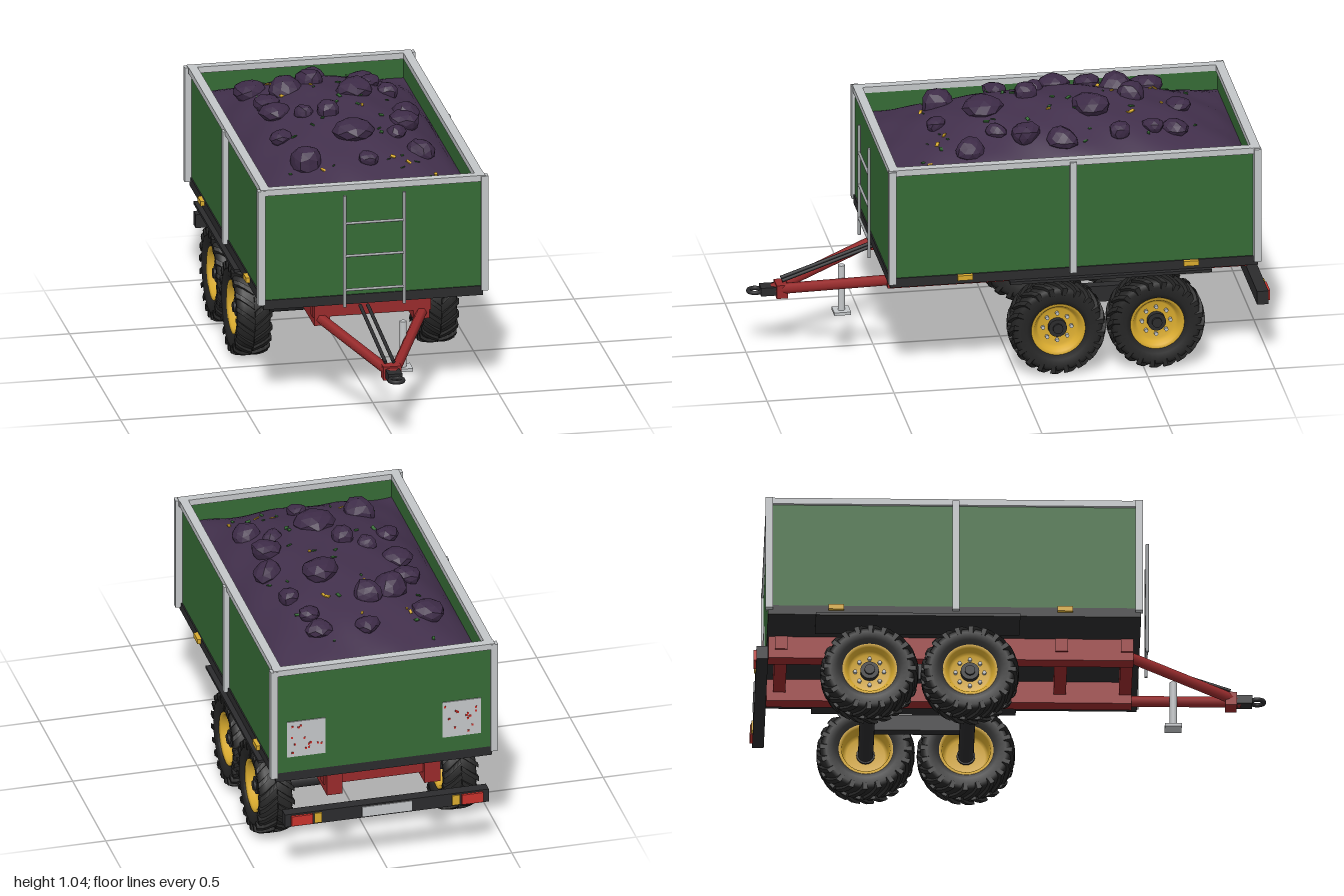
import * as THREE from 'three';
import { mergeGeometries } from 'three/addons/utils/BufferGeometryUtils.js';

const mat = (name, color, extra = {}) => Object.assign(new THREE.MeshStandardMaterial({ color, ...extra }), { name });

export function createModel() {
  const M = {
    green: mat('panelGreen', 0x356a35),
    grey: mat('frameGrey', 0xc3c6c8),
    steel: mat('steel', 0x9b9ea0),
    red: mat('chassisRed', 0x982a2b),
    black: mat('darkMetal', 0x2b2b2d),
    tyre: mat('rubber', 0x262626),
    yellow: mat('rimYellow', 0xd8aa2e),
    load: mat('loadPurple', 0x42304c),
    rock: mat('lumpPurple', 0x3d2b47, { flatShading: true }),
    lamp: mat('lampRed', 0xc8322c),
  };
  const model = new THREE.Group();
  model.name = 'trailer';

  let seed = 7;
  const rnd = () => (seed = (seed * 16807) % 2147483647) / 2147483647;

  const add = (name, geo, material, parent = model) => {
    const mesh = new THREE.Mesh(geo, material);
    mesh.name = name;
    parent.add(mesh);
    return mesh;
  };
  // box given by its extents
  const box = (name, m, x0, x1, y0, y1, z0, z1, parent) => {
    const b = add(name, new THREE.BoxGeometry(x1 - x0, y1 - y0, z1 - z0), m, parent);
    b.position.set((x0 + x1) / 2, (y0 + y1) / 2, (z0 + z1) / 2);
    return b;
  };
  // round bar between two points
  const rod = (name, m, a, b, r, sides = 12, parent = model) => {
    const p = new THREE.Vector3(...a), q = new THREE.Vector3(...b), d = q.clone().sub(p);
    const c = add(name, new THREE.CylinderGeometry(r, r, d.length(), sides), m, parent);
    c.position.copy(p).add(q).multiplyScalar(0.5);
    c.quaternion.setFromUnitVectors(new THREE.Vector3(0, 1, 0), d.normalize());
    return c;
  };

  // --- body: floor, walls and grey frame
  box('floor', M.black, -0.435, 0.435, 0.42, 0.458, -0.945, 0.505);
  box('frontWall', M.green, -0.43, 0.43, 0.458, 0.9, 0.48, 0.5);
  box('rearWall', M.green, -0.43, 0.43, 0.458, 0.9, -0.945, -0.925);
  box('frontRail', M.grey, -0.445, 0.445, 0.89, 0.915, 0.473, 0.508);
  box('rearRail', M.grey, -0.445, 0.445, 0.89, 0.915, -0.953, -0.918);
  for (const s of [-1, 1]) {
    const sideBox = (name, m, x0, x1, ...r) => box(name, m, Math.min(s * x0, s * x1), Math.max(s * x0, s * x1), ...r);
    sideBox('sideWall', M.green, 0.41, 0.43, 0.458, 0.9, -0.93, 0.485);
    sideBox('sideRail', M.grey, 0.408, 0.443, 0.89, 0.915, -0.918, 0.473);
    sideBox('middlePost', M.grey, 0.428, 0.452, 0.44, 0.905, -0.228, -0.202);
    sideBox('frontPost', M.grey, 0.428, 0.457, 0.44, 0.912, 0.483, 0.512);
    sideBox('rearPost', M.grey, 0.428, 0.457, 0.44, 0.912, -0.955, -0.926);
    sideBox('mudguard', M.black, 0.28, 0.456, 0.409, 0.421, -0.76, 0.035);
    for (const z of [0.21, -0.68]) sideBox('sideMarker', M.yellow, 0.434, 0.45, 0.438, 0.458, z - 0.03, z + 0.03);
    // rear warning plate with small red spots
    sideBox('warningPlate', M.grey, 0.235, 0.39, 0.525, 0.68, -0.949, -0.944);
    for (let i = 0; i < 14; i++) {
      const x = s * (0.245 + rnd() * 0.135), y = 0.535 + rnd() * 0.135;
      box('warningSpot', M.lamp, x - 0.004, x + 0.004, y - 0.004, y + 0.004, -0.951, -0.948);
    }
    // chassis and bogie
    sideBox('chassisRail', M.red, 0.165, 0.228, 0.33, 0.421, -0.94, 0.48);
    sideBox('bogieBeam', M.black, 0.214, 0.256, 0.23, 0.295, -0.56, -0.15);
    // drawbar arm
    rod('drawbarArm', M.red, [s * 0.2, 0.355, 0.47], [0, 0.262, 0.9], 0.021, 6);
    // rear lamps
    sideBox('rearLamp', M.lamp, 0.3, 0.385, 0.246, 0.288, -1, -0.988);
    sideBox('indicator', M.yellow, 0.262, 0.292, 0.246, 0.288, -0.996, -0.988);
  }
  for (const z of [0.455, 0.2, -0.16, -0.52, -0.89])
    box('crossMember', M.red, -0.235, 0.235, 0.365, 0.42, z - 0.024, z + 0.024);
  box('bumper', M.black, -0.41, 0.41, 0.24, 0.295, -0.99, -0.945);
  box('numberPlate', M.grey, -0.1, 0.1, 0.246, 0.288, -0.994, -0.989);

  // --- hitch
  box('drawbarTip', M.red, -0.036, 0.036, 0.235, 0.29, 0.84, 0.885);
  box('coupling', M.black, -0.028, 0.028, 0.246, 0.28, 0.87, 0.945);
  const eye = add('towingEye', new THREE.TorusGeometry(0.026, 0.009, 8, 24), M.black);
  eye.rotation.x = Math.PI / 2;
  eye.position.set(0, 0.262, 0.965);
  rod('hose', M.black, [-0.05, 0.41, 0.5], [-0.022, 0.3, 0.86], 0.007);
  rod('hose', M.black, [-0.02, 0.41, 0.5], [0.01, 0.3, 0.86], 0.007);

  // --- support leg
  rod('supportLeg', M.grey, [0.092, 0.19, 0.64], [0.092, 0.385, 0.64], 0.014, 20);
  box('supportFoot', M.grey, 0.059, 0.125, 0.186, 0.198, 0.607, 0.673);

  // --- ladder
  for (const x of [-0.118, 0.118]) rod('ladderRail', M.steel, [x, 0.42, 0.535], [x, 0.88, 0.535], 0.0065);
  for (const y of [0.49, 0.63, 0.765]) rod('ladderRung', M.steel, [-0.118, y, 0.535], [0.118, y, 0.535], 0.0055);

  // --- wheels
  const lathe = (pts, seg = 40) => new THREE.LatheGeometry(pts.map(p => new THREE.Vector2(...p)), seg).rotateZ(-Math.PI / 2);
  const tyreGeo = lathe([[0.102, -0.05], [0.125, -0.062], [0.155, -0.066], [0.17, -0.06], [0.177, -0.04], [0.179, 0],
    [0.177, 0.04], [0.17, 0.06], [0.155, 0.066], [0.125, 0.062], [0.102, 0.05], [0.102, -0.05]]);
  // slanting tread bars wrapped round the tyre
  const lugs = [];
  const N = 20;
  for (const side of [-1, 1]) for (let i = 0; i < N; i++) {
    const g = new THREE.BoxGeometry(0.07, 0.02, 0.03, 4, 1, 1);
    const p = g.attributes.position;
    const base = ((i + (side > 0 ? 0.5 : 0)) / N) * Math.PI * 2;
    for (let k = 0; k < p.count; k++) {
      const x = p.getX(k) + side * 0.035, u = Math.abs(x) / 0.07;
      const r = 0.176 + p.getZ(k) - 0.012 * u ** 4;
      const a = base + p.getY(k) / 0.18 + 0.3 * u;
      p.setXYZ(k, x, Math.sin(a) * r, Math.cos(a) * r);
    }
    const flat = g.toNonIndexed();
    flat.computeVertexNormals();
    lugs.push(flat);
  }
  const lugGeo = mergeGeometries(lugs);
  const rimMat = M.yellow;
  rimMat.side = THREE.DoubleSide;
  const rimGeo = lathe([[0.03, 0.018], [0.075, 0.018], [0.084, 0.03], [0.094, 0.05], [0.106, 0.056], [0.107, 0.05],
    [0.1, 0.04], [0.1, -0.04], [0.107, -0.05], [0.106, -0.056], [0.094, -0.05], [0.088, 0.0], [0.075, 0.01], [0.03, 0.01]]);

  for (const s of [-1, 1]) for (const z of [-0.16, -0.55]) {
    const w = new THREE.Group();
    w.name = 'wheel';
    w.position.set(s * 0.37, 0.195, z);
    model.add(w);
    add('tyre', tyreGeo, M.tyre, w);
    add('tread', lugGeo, M.tyre, w);
    add('rim', rimGeo, rimMat, w).rotation.y = s > 0 ? 0 : Math.PI;
    rod('hub', M.black, [0, 0, 0], [s * 0.042, 0, 0], 0.036, 20, w);
    rod('hubCap', M.black, [s * 0.04, 0, 0], [s * 0.052, 0, 0], 0.02, 16, w);
    for (let i = 0; i < 8; i++) {
      const a = (i / 8) * Math.PI * 2, y = Math.sin(a) * 0.056, q = Math.cos(a) * 0.056;
      rod('wheelNut', M.grey, [s * 0.015, y, q], [s * 0.03, y, q], 0.008, 6, w);
    }
  }
  for (const z of [-0.16, -0.55]) rod('axle', M.black, [-0.375, 0.195, z], [0.375, 0.195, z], 0.03, 20);

  // --- heaped load
  const heapY = (x, z) => {
    const u = Math.min(1, Math.abs(x) / 0.412), v = Math.min(1, Math.abs(z + 0.222) / 0.705);
    return 0.81 + 0.185 * ((1 - u * u) * (1 - v * v)) ** 0.8 + 0.006 * Math.sin(x * 23) * Math.sin(z * 17);
  };
  const heap = new THREE.PlaneGeometry(0.824, 1.41, 28, 44).rotateX(-Math.PI / 2).translate(0, 0, -0.222);
  const hp = heap.attributes.position;
  for (let i = 0; i < hp.count; i++) hp.setY(i, heapY(hp.getX(i), hp.getZ(i)));
  heap.computeVertexNormals();
  add('heap', heap, M.load);

  // lumps: x, z, radius
  const lumps = [[-0.265, -0.62, 0.065], [0, -0.7, 0.046], [0.185, -0.66, 0.05], [-0.145, -0.48, 0.07], [-0.045, -0.525, 0.058],
    [0.245, -0.43, 0.045], [-0.245, -0.38, 0.052], [0.095, -0.34, 0.07], [-0.235, -0.25, 0.057], [0.27, -0.2, 0.06],
    [-0.14, -0.155, 0.038], [-0.055, -0.11, 0.05], [0.235, -0.06, 0.058], [-0.26, -0.02, 0.046], [0.01, 0.07, 0.072],
    [0.185, 0.045, 0.04], [0.26, 0.16, 0.057], [-0.205, 0.21, 0.07], [0.03, 0.26, 0.04], [0.2, -0.57, 0.042]];
  lumps.forEach(([x, z, r], n) => {
    const g = new THREE.IcosahedronGeometry(r, 1), p = g.attributes.position;
    for (let i = 0; i < p.count; i++) {
      const a = p.getX(i) / r, b = p.getY(i) / r, c = p.getZ(i) / r;
      const k = 1 + 0.13 * Math.sin(3 * a + n) * Math.cos(2.5 * c + 2 * n) + 0.08 * Math.sin(4 * b + n);
      p.setXYZ(i, a * r * k, b * r * k * 0.75, c * r * k);
    }
    g.computeVertexNormals();
    add('lump', g, M.rock).position.set(x, heapY(x, z) + 0.006, z);
  });

  // scattered leaf and straw flecks
  for (let i = 0; i < 46; i++) {
    const x = (rnd() - 0.5) * 0.58, z = -0.2 + (rnd() - 0.5) * 1.15, s = 0.006 + rnd() * 0.008;
    const f = add('fleck', new THREE.BoxGeometry(s * 1.6, 0.004, s), i % 3 ? M.green : M.yellow);
    f.position.set(x, heapY(x, z) + 0.004, z);
    f.rotation.set(rnd() - 0.5, rnd() * 6, rnd() - 0.5);
  }
  return model;
}
